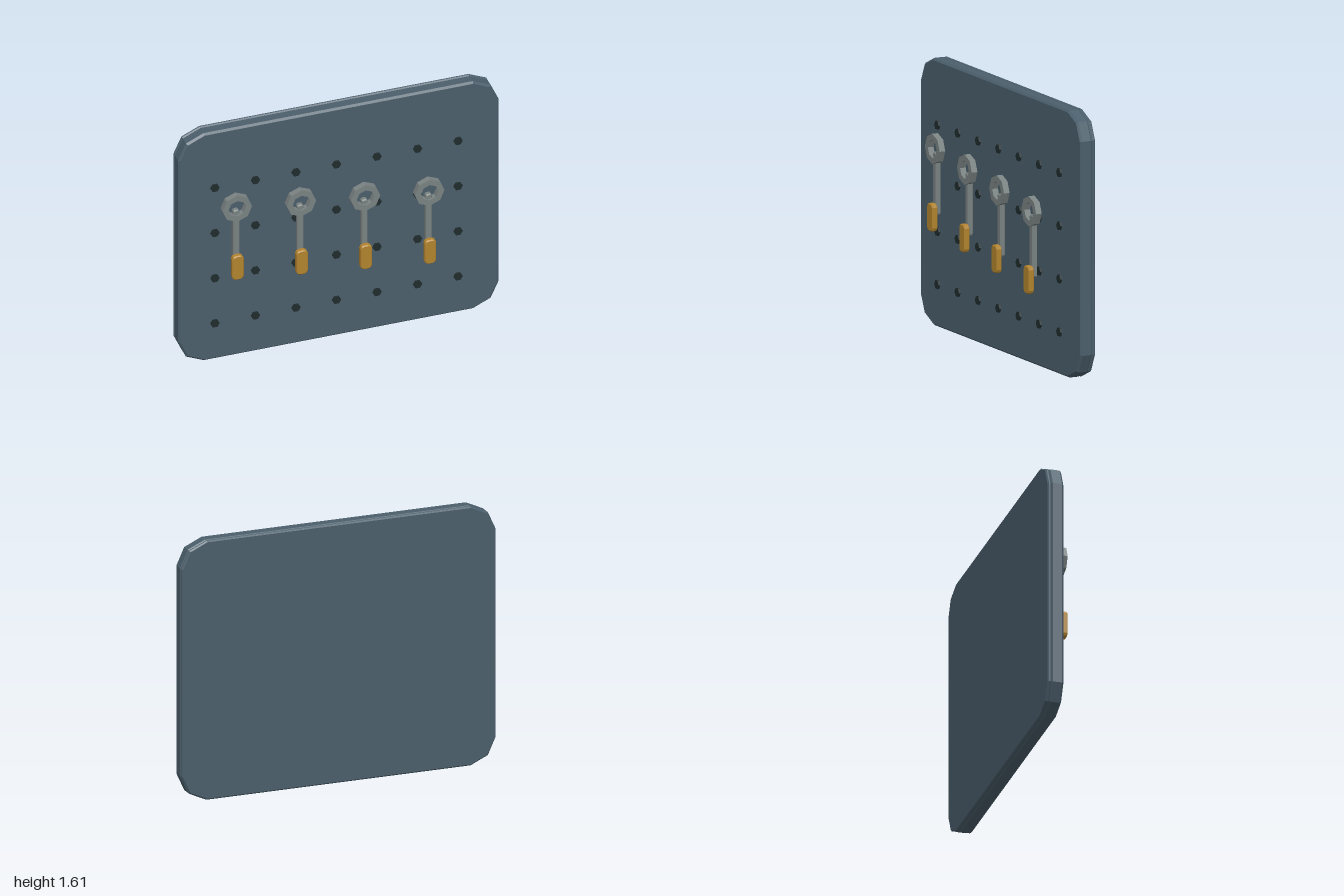
import * as THREE from 'three';

const paint = (name, color) => {
  const m = new THREE.MeshStandardMaterial({ color });
  m.name = name;
  m.flatShading = true;
  return m;
};

// Rectangle with two-step corners; cx, cy are the full corner cut, kx, ky the middle corner point
function cutRect(w, h, cx, cy, kx, ky) {
  const x = w / 2, y = h / 2;
  return new THREE.Shape([
    [x, y - cy], [x - kx, y - ky], [x - cx, y],
    [cx - x, y], [kx - x, y - ky], [-x, y - cy],
    [-x, cy - y], [kx - x, ky - y], [cx - x, -y],
    [x - cx, -y], [x - kx, ky - y], [x, cy - y],
  ].map(([px, py]) => new THREE.Vector2(px, py)));
}

// Extrusion between z0 and z1 whose bevel stays within the drawn outline
function slab(shape, z0, z1, bevel) {
  const geo = new THREE.ExtrudeGeometry(shape, {
    depth: z1 - z0 - 2 * bevel, curveSegments: 4, bevelEnabled: bevel > 0,
    bevelThickness: bevel, bevelSize: bevel, bevelOffset: -bevel, bevelSegments: 1,
  });
  return geo.translate(0, 0, z0 + bevel);
}

export function createModel() {
  const model = new THREE.Group();
  model.name = 'toolBoard';
  const slate = paint('slate board', 0x4b5f6c);
  const dark = paint('dark hole', 0x202c2d);
  const steel = paint('grey steel', 0x7a8282);
  const amber = paint('amber grip', 0xb3842e);

  const add = (parent, name, geo, mat, x = 0, y = 0, z = 0) => {
    const mesh = new THREE.Mesh(geo, mat);
    mesh.name = name;
    mesh.position.set(x, y, z);
    parent.add(mesh);
  };

  // Board: thick front panel and thin backing plate with a seam between them
  const outline = cutRect(2, 1.61, 0.16, 0.16, 0.05, 0.05);
  add(model, 'frontPanel', slab(outline, -0.087, -0.007, 0.012), slate, 0, 0.805);
  add(model, 'backPlate', slab(outline, -0.107, -0.083, 0.008), slate, 0, 0.805);

  // Grid of hexagonal peg holes
  const hole = new THREE.CylinderGeometry(0.028, 0.028, 0.014, 6).rotateX(Math.PI / 2).rotateZ(Math.PI / 2);
  for (let row = 0; row < 4; row++) {
    for (let col = 0; col < 7; col++) {
      add(model, 'pegHole', hole, dark, -0.775 + col * 0.2527, 1.218 - row * 0.32, -0.003);
    }
  }

  // Ring spanner parts, measured from the ring centre
  const ringShape = new THREE.Shape();
  const ringHole = new THREE.Path();
  for (let i = 0; i < 8; i++) {
    const a = i * Math.PI / 4;
    const step = i ? 'lineTo' : 'moveTo';
    ringShape[step](0.092 * Math.cos(a), 0.092 * Math.sin(a));
    ringHole[step](0.054 * Math.cos(a), 0.054 * Math.sin(a));
  }
  ringShape.closePath();
  ringHole.closePath();
  ringShape.holes.push(ringHole);
  const ring = slab(ringShape, 0.052, 0.09, 0);
  const shaft = slab(cutRect(0.04, 0.38, 0.012, 0.012, 0.004, 0.004), 0.041, 0.076, 0.006);
  const grip = slab(cutRect(0.072, 0.168, 0.022, 0.022, 0.007, 0.007), 0.072, 0.108, 0.006);

  // Four hanging tools, each a little lower than the last
  for (let i = 0; i < 4; i++) {
    const tool = new THREE.Group();
    tool.name = 'tool';
    tool.position.set(-0.667 + i * 0.4, 1.104 - i * 0.05, 0);
    add(tool, 'ring', ring, steel);
    add(tool, 'shaft', shaft, steel, 0, -0.21);
    add(tool, 'grip', grip, amber, 0, -0.41);
    model.add(tool);
  }
  return model;
}
